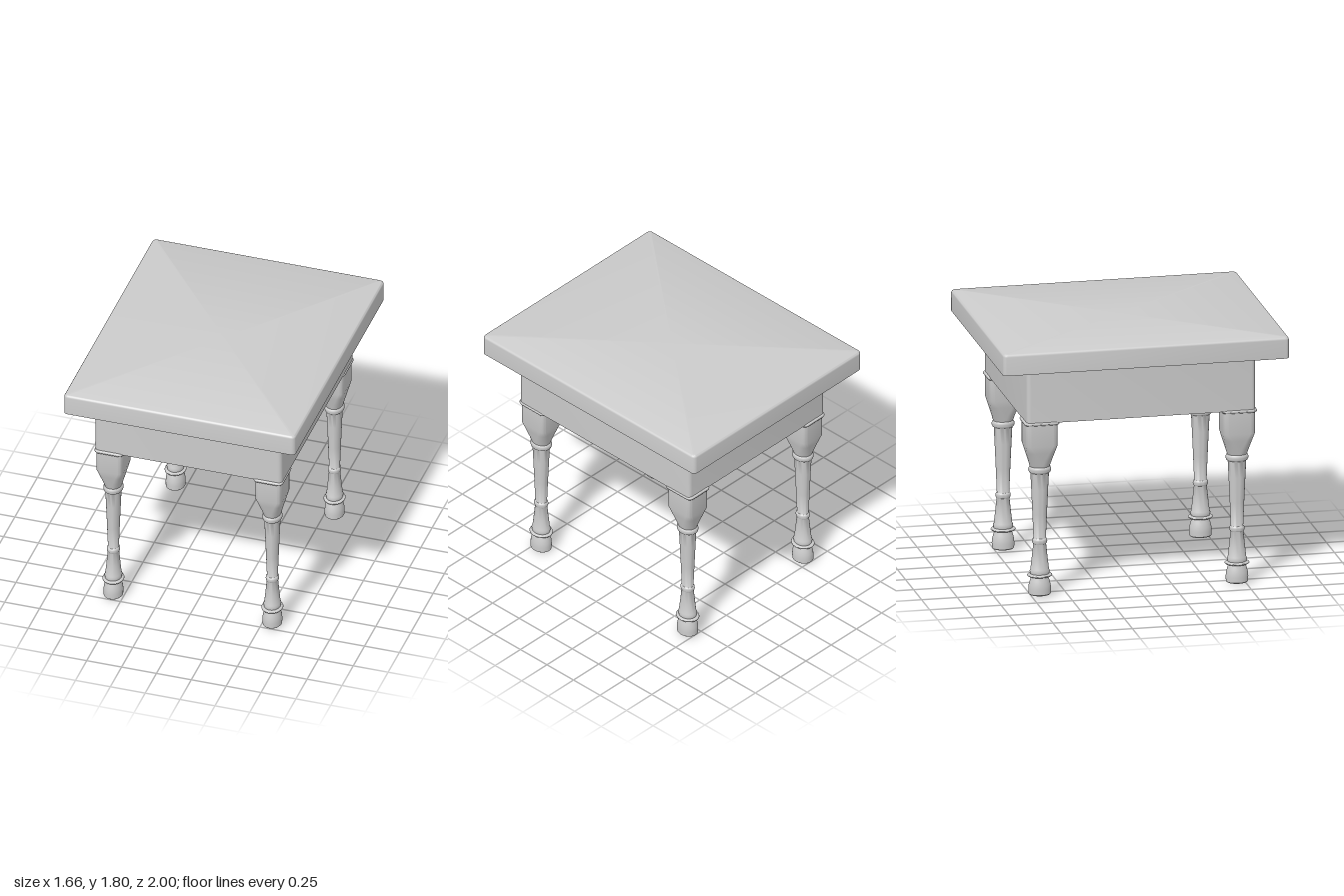
import * as THREE from 'three';
import { toCreasedNormals } from 'three/addons/utils/BufferGeometryUtils.js';

const material = new THREE.MeshStandardMaterial({ color: 0xcccccc });

// Outline of a rounded rectangle with half sizes hx, hz and corner radius r
function outline(y, hx, hz, r, steps) {
  const points = [];
  for (let corner = 0; corner < 4; corner++) {
    const sx = corner === 0 || corner === 3 ? 1 : -1;
    const sz = corner < 2 ? 1 : -1;
    for (let i = 0; i <= steps; i++) {
      const a = (corner + i / steps) * Math.PI / 2;
      points.push([sx * (hx - r) + r * Math.cos(a), y, sz * (hz - r) + r * Math.sin(a)]);
    }
  }
  return points;
}

// Capped solid through sections [y, hx, hz, r], listed from bottom to top
function loft(sections, steps, crease) {
  const rings = sections.map(([y, hx, hz, r]) => outline(y, hx, hz, r, steps));
  const n = rings[0].length;
  const last = rings.length - 1;
  const positions = rings.flat(2);
  const index = [];
  for (let i = 0; i < last; i++) {
    for (let j = 0; j < n; j++) {
      const a = i * n + j, b = i * n + (j + 1) % n;
      index.push(a, a + n, b + n, a, b + n, b);
    }
  }
  const bottom = rings.length * n, top = bottom + 1;
  positions.push(0, sections[0][0], 0, 0, sections[last][0], 0);
  for (let j = 0; j < n; j++) {
    const k = (j + 1) % n;
    index.push(bottom, j, k, top, last * n + k, last * n + j);
  }
  const geometry = new THREE.BufferGeometry();
  geometry.setAttribute('position', new THREE.Float32BufferAttribute(positions, 3));
  geometry.setIndex(index);
  return toCreasedNormals(geometry, crease);
}

function part(name, geometry) {
  const mesh = new THREE.Mesh(geometry, material);
  mesh.name = name;
  return mesh;
}

// Half-round bead between y0 and y1, swelling from radius r0 to r1
function bead(y0, y1, r0, r1) {
  const points = [];
  for (let i = 0; i <= 8; i++) {
    const a = i / 8 * Math.PI;
    points.push([r0 + (r1 - r0) * Math.sin(a), y0 + (y1 - y0) * (1 - Math.cos(a)) / 2]);
  }
  return points;
}

export function createModel() {
  const model = new THREE.Group();
  model.name = 'sideTable';

  // Table top: sharp lower edge, rounded upper edge
  const topSections = [[1.65, 0.83, 1, 0.03]];
  for (let i = 0; i <= 5; i++) {
    const a = i / 5 * Math.PI / 2, inset = 0.02 * (1 - Math.cos(a));
    topSections.push([1.78 + 0.02 * Math.sin(a), 0.83 - inset, 1 - inset, 0.03 - inset * 0.8]);
  }
  model.add(part('tableTop', loft(topSections, 6, 0.7)));

  // Apron
  model.add(part('apron', loft([[1.25, 0.67, 0.8, 0.03], [1.65, 0.67, 0.8, 0.03]], 6, 0.7)));

  // Turned lower leg, from foot to the bead under the block
  const profile = [
    [0, 0], [0.03, 0], [0.03, 0.01], [0.06, 0.01], [0.066, 0.016], [0.067, 0.05],
    [0.065, 0.08], [0.058, 0.11], [0.051, 0.135],
    ...bead(0.137, 0.158, 0.056, 0.074), [0.06, 0.178],
    [0.055, 0.19], [0.047, 0.27], [0.038, 0.37],
    ...bead(0.371, 0.408, 0.038, 0.045),
    [0.037, 0.409], [0.043, 0.58], [0.05, 0.76], [0.055, 0.875],
    ...bead(0.876, 0.922, 0.056, 0.068), [0, 0.922],
  ].map(([r, y]) => new THREE.Vector2(r, y));
  const turned = toCreasedNormals(new THREE.LatheGeometry(profile, 32), 0.7);

  // Square block that tapers into a round neck
  const block = loft([
    [0.915, 0.057, 0.057, 0.056], [0.97, 0.07, 0.07, 0.052], [1.03, 0.084, 0.084, 0.042],
    [1.08, 0.095, 0.095, 0.03], [1.235, 0.095, 0.095, 0.03],
  ], 6, 0.6);

  // Square rim under the apron
  const rim = loft(bead(1.232, 1.256, 0.097, 0.106).map(([h, y]) => [y, h, h, 0.032]), 6, 0.9);

  // Four legs, slightly deeper than wide
  for (const [sx, side] of [[1, 'Left'], [-1, 'Right']]) {
    for (const [sz, end] of [[1, 'front'], [-1, 'back']]) {
      const leg = new THREE.Group();
      leg.name = end + side + 'Leg';
      leg.add(part('turnedLeg', turned), part('legBlock', block), part('legRim', rim));
      leg.position.set(sx * 0.57, 0, sz * 0.69);
      leg.scale.z = 1.16;
      model.add(leg);
    }
  }
  return model;
}
